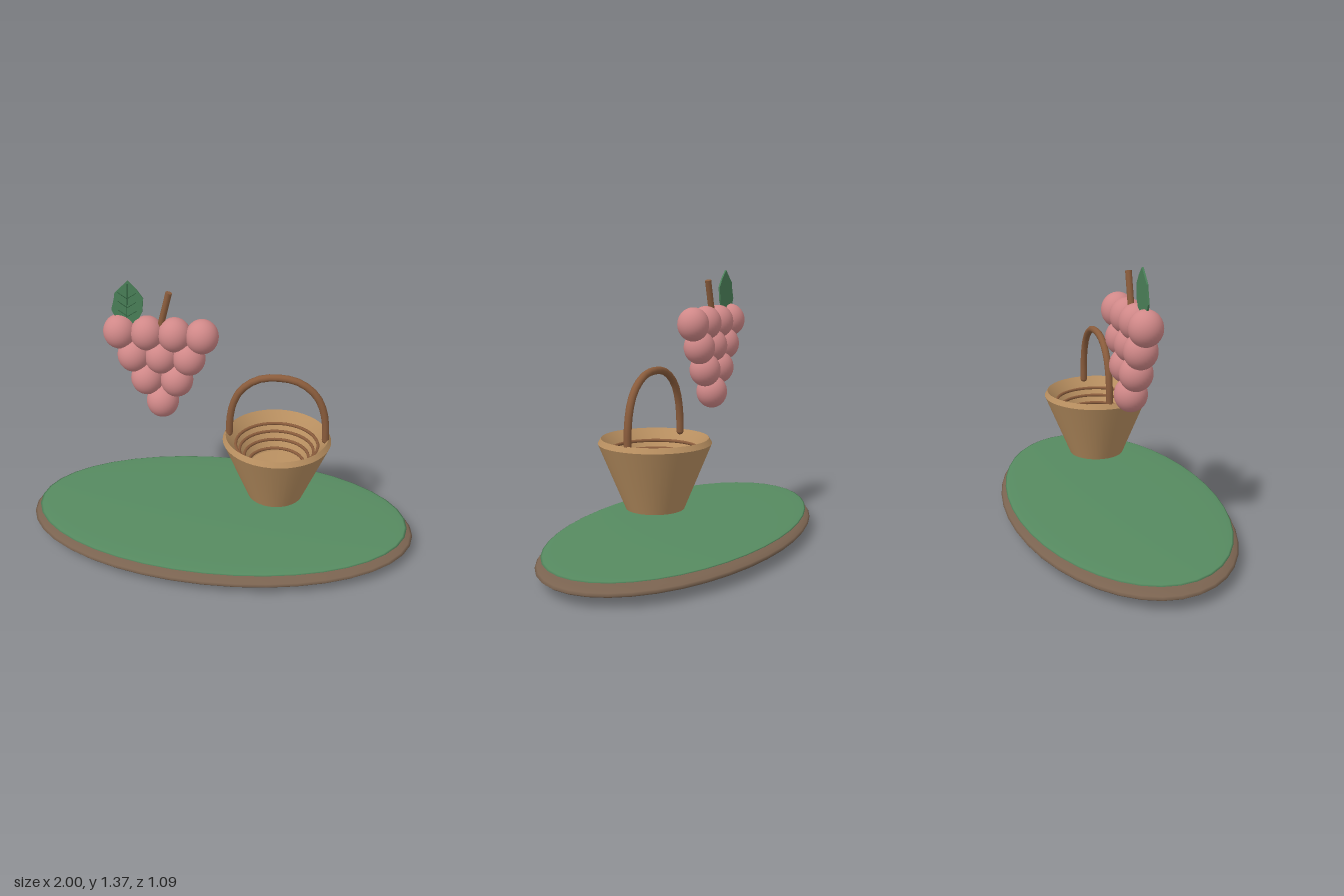
import * as THREE from 'three';

const mat = (color, extra = {}) => {
  const m = new THREE.MeshStandardMaterial(extra);
  m.color.set(color);
  return m;
};
const V = (x, y, z = 0) => new THREE.Vector3(x, y, z);

export function createModel() {
  const group = new THREE.Group();
  const soil = mat(0x7a6350), grass = mat(0x568a60), wicker = mat(0xb88f60, { side: THREE.DoubleSide });
  const wood = mat(0x8a5c3c), grape = mat(0xd08888), leafGreen = mat(0x4a8058), veinGreen = mat(0x2c5a3a);

  const add = (name, geometry, material, parent = group) => {
    const mesh = new THREE.Mesh(geometry, material);
    mesh.name = name;
    parent.add(mesh);
    return mesh;
  };
  const ellipsoid = (name, pos, radii, material, parent, w = 32, h = 20) => {
    const mesh = add(name, new THREE.SphereGeometry(1, w, h), material, parent);
    mesh.position.copy(pos);
    mesh.scale.copy(radii);
    return mesh;
  };
  const rod = (name, a, b, radius, material, parent, sides = 10) => {
    const mesh = add(name, new THREE.CylinderGeometry(radius, radius, a.distanceTo(b), sides), material, parent);
    mesh.position.copy(a).lerp(b, 0.5);
    mesh.quaternion.setFromUnitVectors(V(0, 1), b.clone().sub(a).normalize());
    return mesh;
  };

  // Oval ground: flattened soil with a thinner grass layer on top
  ellipsoid('soilBase', V(0, 0.06), V(1, 0.06, 0.545), soil, group, 40, 20);
  ellipsoid('grassTop', V(0, 0.106), V(0.968, 0.017, 0.522), grass, group, 40, 20);

  // Basket: each wall section is turned separately to keep its edges sharp
  const basket = new THREE.Group();
  basket.name = 'basket';
  basket.position.x = 0.285;
  group.add(basket);
  const turned = (name, ...points) => add(name,
    new THREE.LatheGeometry(points.map(p => new THREE.Vector2(...p)), 40), wicker, basket);
  turned('basketBottom', [0, 0.26], [0.14, 0.26]);
  turned('basketWall', [0.14, 0.26], [0.27, 0.575]);
  turned('basketRim', [0.27, 0.575], [0.255, 0.6]);
  turned('basketInside', [0.255, 0.6], [0.21, 0.545], [0.165, 0.475], [0.135, 0.42]);
  turned('basketFloor', [0.135, 0.42], [0, 0.41]);

  // Woven rings inside the basket
  for (const [r, y] of [[0.206, 0.545], [0.186, 0.51], [0.162, 0.475], [0.14, 0.435]]) {
    const ring = add('wovenRing', new THREE.TorusGeometry(r, 0.008, 8, 40), wood, basket);
    ring.rotation.x = Math.PI / 2;
    ring.position.y = y;
  }

  // Arched handle
  const half = [[0.24, 0.59], [0.236, 0.68], [0.219, 0.765], [0.18, 0.84], [0.1, 0.9]];
  const arch = new THREE.CatmullRomCurve3([
    ...half.map(([x, y]) => V(-x, y)), V(0, 0.917),
    ...half.slice().reverse().map(([x, y]) => V(x, y)),
  ]);
  add('basketHandle', new THREE.TubeGeometry(arch, 20, 0.018, 10), wood, basket);
  for (const s of [-1, 1]) {
    const end = add('handleEnd', new THREE.SphereGeometry(0.018, 10, 8), wood, basket);
    end.position.set(s * 0.24, 0.592, 0);
  }

  // Grape bunch: rows of four, three, two and one
  const bunch = new THREE.Group();
  bunch.name = 'grapeBunch';
  group.add(bunch);
  const rows = [[4, 1.108, 0.134], [3, 0.988, 0.136], [2, 0.868, 0.148], [1, 0.747, 0]];
  for (const [count, y, gap] of rows) {
    for (let i = 0; i < count; i++) {
      const x = -0.289 + (i - (count - 1) / 2) * gap;
      ellipsoid('grape', V(x, y), V(0.08, 0.085, 0.08), grape, bunch);
    }
  }
  rod('stem', V(-0.291, 1.14), V(-0.244, 1.322), 0.016, wood, bunch);

  // Leaf with raised veins on its front
  const outline = [[-0.44, 1.37], [-0.505, 1.305], [-0.51, 1.275], [-0.525, 1.22], [-0.5, 1.165],
    [-0.455, 1.14], [-0.4, 1.165], [-0.375, 1.215], [-0.368, 1.285], [-0.4, 1.33]];
  const leafShape = new THREE.Shape(outline.map(p => new THREE.Vector2(...p)));
  const leaf = add('leaf', new THREE.ExtrudeGeometry(leafShape, { depth: 0.008, bevelEnabled: false }), leafGreen, bunch);
  leaf.position.z = -0.004;
  const z = 0.004;
  rod('leafMidrib', V(-0.452, 1.16, z), V(-0.441, 1.355, z), 0.002, veinGreen, bunch, 6);
  for (const y of [1.19, 1.235, 1.28]) {
    for (const s of [-1, 1]) {
      rod('leafVein', V(-0.446, y, z), V(-0.446 + s * 0.045, y + 0.03, z), 0.0016, veinGreen, bunch, 6);
    }
  }
  return group;
}
